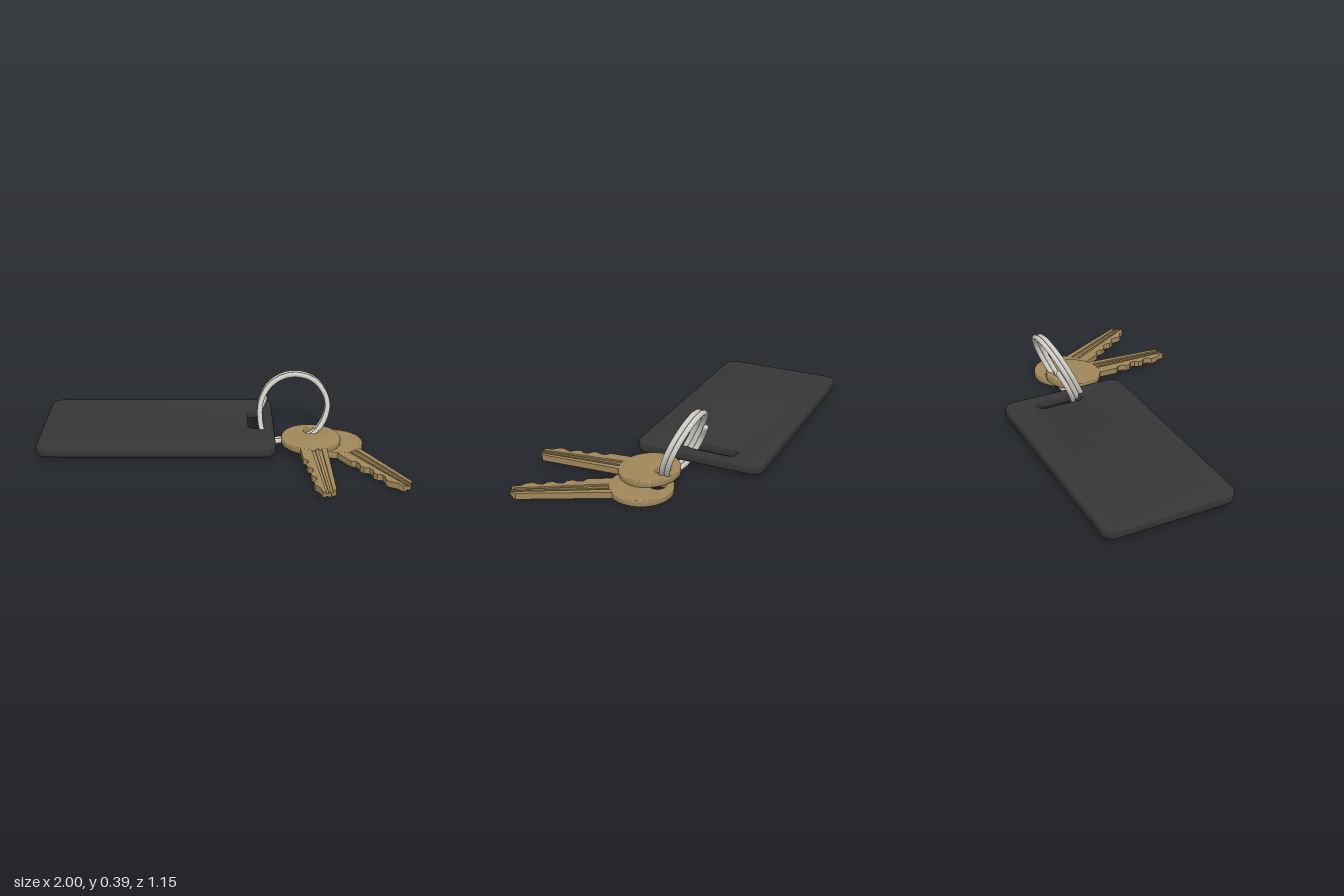
import * as THREE from 'three';
import { toCreasedNormals } from 'three/addons/utils/BufferGeometryUtils.js';

const material = (name, color) => {
  const m = new THREE.MeshStandardMaterial({ color });
  m.name = name;
  return m;
};

// Flat plate: shape y becomes +z, thickness is centred on y = 0
function plate(name, shape, thickness, bevel, mat) {
  const geo = new THREE.ExtrudeGeometry(shape, {
    depth: thickness - 2 * bevel, bevelEnabled: bevel > 0, bevelSize: bevel,
    bevelThickness: bevel, bevelOffset: -bevel, bevelSegments: 3, curveSegments: 20,
  });
  geo.translate(0, 0, bevel - thickness / 2);
  geo.rotateX(Math.PI / 2);
  const mesh = new THREE.Mesh(toCreasedNormals(geo, 0.6), mat);
  mesh.name = name;
  return mesh;
}

function roundedRect(path, x0, y0, x1, y1, r) {
  path.moveTo(x0 + r, y0);
  path.lineTo(x1 - r, y0);
  path.absarc(x1 - r, y0 + r, r, -Math.PI / 2, 0);
  path.lineTo(x1, y1 - r);
  path.absarc(x1 - r, y1 - r, r, 0, Math.PI / 2);
  path.lineTo(x0 + r, y1);
  path.absarc(x0 + r, y1 - r, r, Math.PI / 2, Math.PI);
  path.lineTo(x0, y0 + r);
  path.absarc(x0 + r, y0 + r, r, Math.PI, Math.PI * 1.5);
  return path;
}

const polygon = (pts) => new THREE.Shape(pts.map(([x, y]) => new THREE.Vector2(x, y)));

// Key lying flat: bow centred on the origin, blade along +z, teeth on -x
function makeKey(name, brass) {
  const key = new THREE.Group();
  key.name = name;

  const bow = new THREE.Shape().absarc(0, 0, 0.166, 0, Math.PI * 2);
  bow.holes.push(new THREE.Path().absarc(0.01, -0.08, 0.042, 0, Math.PI * 2, true));
  key.add(plate('bow', bow, 0.036, 0.005, brass));

  // Toothed edge from shoulder to tip
  const teeth = [
    [-0.076, 0.12], [-0.076, 0.27], [-0.055, 0.29], [-0.055, 0.32], [-0.068, 0.34],
    [-0.064, 0.37], [-0.04, 0.39], [-0.042, 0.42], [-0.058, 0.44], [-0.055, 0.47],
    [-0.034, 0.49], [-0.036, 0.51], [-0.054, 0.54], [-0.052, 0.57], [-0.03, 0.6], [-0.022, 0.645],
  ];
  // Thin core, with thicker strips leaving two grooves on each face
  const core = polygon([...teeth, [0.02, 0.65], [0.05, 0.622], [0.071, 0.12]]);
  key.add(plate('bladeCore', core, 0.018, 0, brass));
  key.add(plate('toothedStrip', polygon([...teeth, [-0.006, 0.646], [-0.018, 0.12]]), 0.034, 0, brass));
  key.add(plate('middleRidge', polygon([[0.002, 0.12], [0.006, 0.645], [0.018, 0.648], [0.02, 0.12]]), 0.03, 0, brass));
  key.add(plate('spineStrip', polygon([[0.04, 0.12], [0.03, 0.64], [0.05, 0.622], [0.071, 0.12]]), 0.034, 0, brass));
  return key;
}

export function createModel() {
  const black = material('black plastic', 0x363636);
  const brass = material('brass', 0xa0875a);
  const steel = material('steel', 0xcfccc4);
  const model = new THREE.Group();
  model.name = 'keyFobWithKeys';

  // Card with a slot for the ring
  const outline = roundedRect(new THREE.Shape(), -1, -0.58, 0.32, 0.14, 0.065);
  outline.holes.push(roundedRect(new THREE.Path(), 0.175, -0.41, 0.26, -0.14, 0.042));
  const card = plate('card', outline, 0.058, 0.014, black);
  card.position.y = 0.063;
  model.add(card);

  // Two keys, one resting on the other
  const upper = makeKey('upperKey', brass);
  upper.position.set(0.522, 0.06, -0.052);
  upper.rotation.set(0.04, 0.05, 0);
  upper.scale.z = 0.965;
  const lower = makeKey('lowerKey', brass);
  lower.position.set(0.65, 0.025, -0.07);
  lower.rotation.set(-0.012, 0.52, 0);
  model.add(upper, lower);

  // Split ring: just over two leaning coils of wire
  const loop = [
    [0.25, 0.08], [0.239, 0.15], [0.245, 0.23], [0.29, 0.31], [0.37, 0.36], [0.46, 0.37],
    [0.55, 0.34], [0.61, 0.27], [0.625, 0.2], [0.6, 0.12], [0.545, 0.055], [0.46, 0.026],
    [0.37, 0.02], [0.29, 0.018],
  ];
  const points = [];
  const count = loop.length * 2 + 3;
  for (let i = 0; i < count; i++) {
    const [x, y] = loop[i % loop.length];
    const inner = i === count - 1 ? 0.025 : 0;
    const shift = 0.025 - 0.065 * (i / (count - 1));
    points.push(new THREE.Vector3(x + inner, y, -0.115 - 0.42 * y + shift));
  }
  const ring = new THREE.Group();
  ring.name = 'splitRing';
  const coil = new THREE.Mesh(
    new THREE.TubeGeometry(new THREE.CatmullRomCurve3(points), 180, 0.0145, 10), steel);
  coil.name = 'coil';
  ring.add(coil);
  // Rounded wire ends
  for (const p of [points[0], points[count - 1]]) {
    const end = new THREE.Mesh(new THREE.SphereGeometry(0.0145, 10, 8), steel);
    end.name = 'wireEnd';
    end.position.copy(p);
    ring.add(end);
  }
  model.add(ring);
  return model;
}
